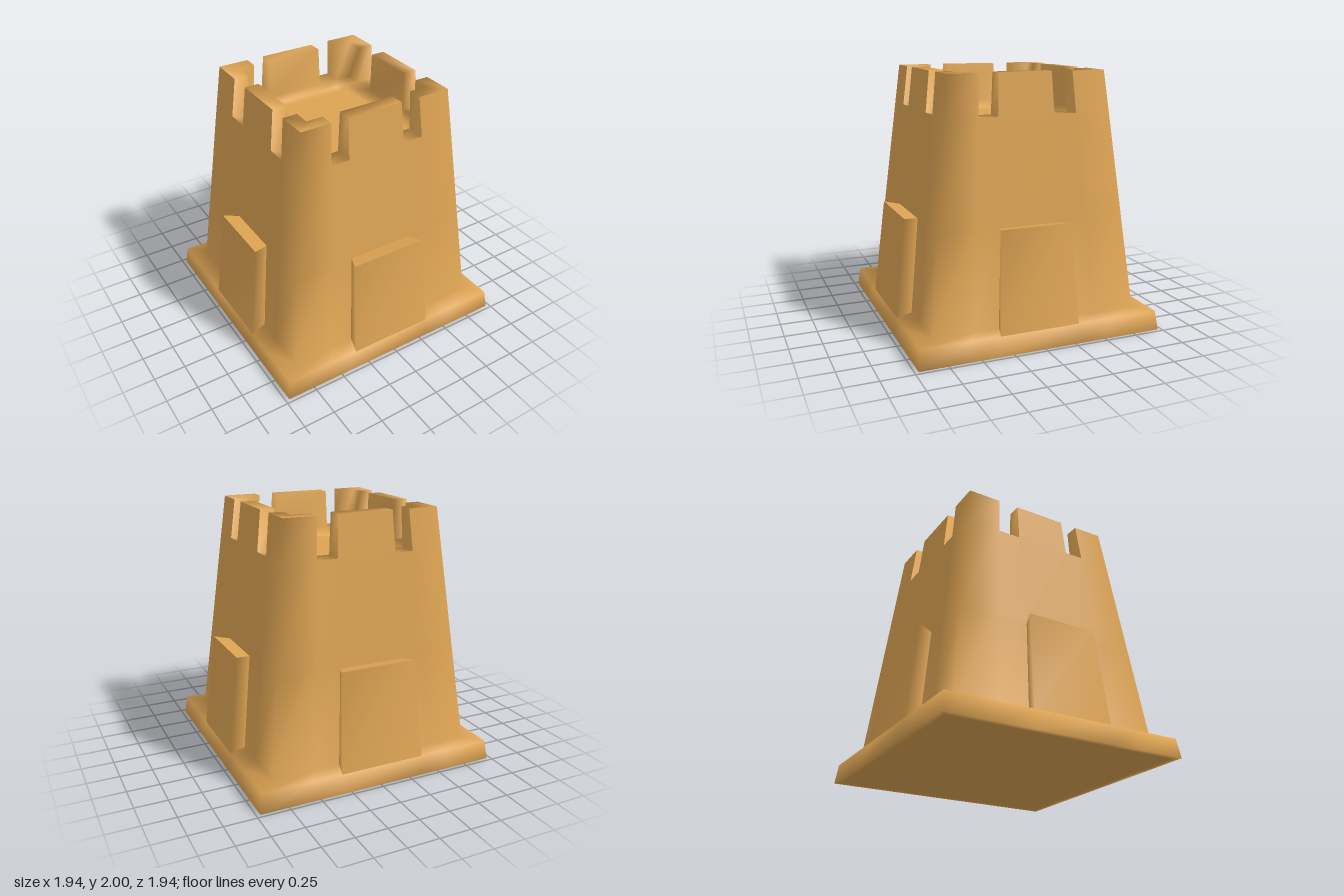
import * as THREE from 'three';
import { mergeVertices } from 'three/addons/utils/BufferGeometryUtils.js';

// Notch edges as fractions of the half width, along x and along z
const NOTCH_X = [-0.613, -0.389, 0.331, 0.583];
const NOTCH_Z = [-0.573, -0.3, 0.379, 0.613];
const flip = (list) => list.map((v) => -v).reverse();
const SIDE_COLUMNS = [NOTCH_X, flip(NOTCH_Z), flip(NOTCH_X), NOTCH_Z];

// Point on one of four sides: t runs along the side, h is the distance out
function place(side, t, y, h) {
  return [[t, y, h], [h, y, -t], [-t, y, -h], [-h, y, t]][side];
}

// Square loop of 20 points; columns follow the given scale
function ring(half, y, scale = half) {
  const points = [];
  SIDE_COLUMNS.forEach((columns, side) => {
    points.push(place(side, -half, y, half));
    for (const c of columns) points.push(place(side, c * scale, y, half));
  });
  return points;
}

const isNotch = (i) => i % 5 === 1 || i % 5 === 3;
const isMerlon = (i) => !isNotch(i);

function quad(out, a, b, c, d) {
  out.push(...a, ...b, ...c, ...a, ...c, ...d);
}

// Band of quads between two loops
function strip(out, a, b, keep = () => true) {
  for (let i = 0; i < a.length; i++) {
    const j = (i + 1) % a.length;
    if (keep(i)) quad(out, a[i], a[j], b[j], b[i]);
  }
}

function cap(out, loop, up) {
  const centre = [0, loop[0][1], 0];
  loop.forEach((p, i) => {
    const q = loop[(i + 1) % loop.length];
    out.push(...(up ? p : q), ...(up ? q : p), ...centre);
  });
}

// Shared corners give smooth normals
function smoothMesh(name, positions, material) {
  let geometry = new THREE.BufferGeometry();
  geometry.setAttribute('position', new THREE.Float32BufferAttribute(positions, 3));
  geometry = mergeVertices(geometry, 1e-4);
  geometry.computeVertexNormals();
  const mesh = new THREE.Mesh(geometry, material);
  mesh.name = name;
  return mesh;
}

export function createModel() {
  const group = new THREE.Group();
  group.name = 'sandTower';
  const sand = new THREE.MeshStandardMaterial({ color: 0xdca353 });
  sand.name = 'sand';

  const outerLow = ring(0.654, 1.69);
  const outerTop = ring(0.62, 2);
  const innerTop = ring(0.508, 2, 0.62);
  const innerLow = ring(0.508, 1.69, 0.654);

  // Base slab, ledge and sloping outer walls
  const shell = [];
  const outline = [
    ring(0.92, 0), ring(0.97, 0), ring(0.95, 0.15),
    ring(0.82, 0.157), ring(0.739, 0.9), outerLow,
  ];
  cap(shell, outline[0], false);
  for (let i = 0; i < outline.length - 1; i++) strip(shell, outline[i], outline[i + 1]);
  strip(shell, outerLow, outerTop, isMerlon);
  group.add(smoothMesh('outerWalls', shell, sand));

  // Merlon tops, notches, inner walls and sunken floor
  const crown = [];
  const floorEdge = ring(0.508, 1.62, 0.654);
  const floorRim = ring(0.43, 1.62, 0.654);
  strip(crown, outerTop, innerTop, isMerlon);
  strip(crown, innerTop, innerLow, isMerlon);
  strip(crown, outerLow, innerLow, isNotch);
  for (let i = 0; i < 20; i++) {
    if (!isNotch(i)) continue;
    const j = i + 1;
    quad(crown, outerLow[i], innerLow[i], innerTop[i], outerTop[i]);
    quad(crown, innerLow[j], outerLow[j], outerTop[j], innerTop[j]);
  }
  strip(crown, innerLow, floorEdge);
  strip(crown, floorEdge, floorRim);
  cap(crown, floorRim, true);
  group.add(smoothMesh('battlements', crown, sand));

  // One tapered buttress in the middle of each side
  const spans = [[-0.36, 0.32], [-0.35, 0.28], [-0.32, 0.36], [-0.28, 0.35]];
  spans.forEach(([a, b], side) => {
    const p = (t, y, h) => place(side, t, y, h);
    const corners = (t, s) => ({
      outLow: p(t, 0.15, 0.951),
      outTop: p(t + s * 0.033, 0.91, 0.86),
      inTop: p(t + s * 0.085, 0.888, 0.735),
      inLow: p(t + s * 0.04, 0.15, 0.815),
    });
    const l = corners(a, 1);
    const r = corners(b, -1);
    const body = [];
    quad(body, l.outLow, r.outLow, r.outTop, l.outTop);
    quad(body, r.outLow, r.inLow, r.inTop, r.outTop);
    quad(body, l.inLow, l.outLow, l.outTop, l.inTop);
    const top = [];
    quad(top, l.outTop, r.outTop, r.inTop, l.inTop);
    const buttress = new THREE.Group();
    buttress.name = 'buttress';
    buttress.add(smoothMesh('buttressBody', body, sand), smoothMesh('buttressTop', top, sand));
    group.add(buttress);
  });

  return group;
}
